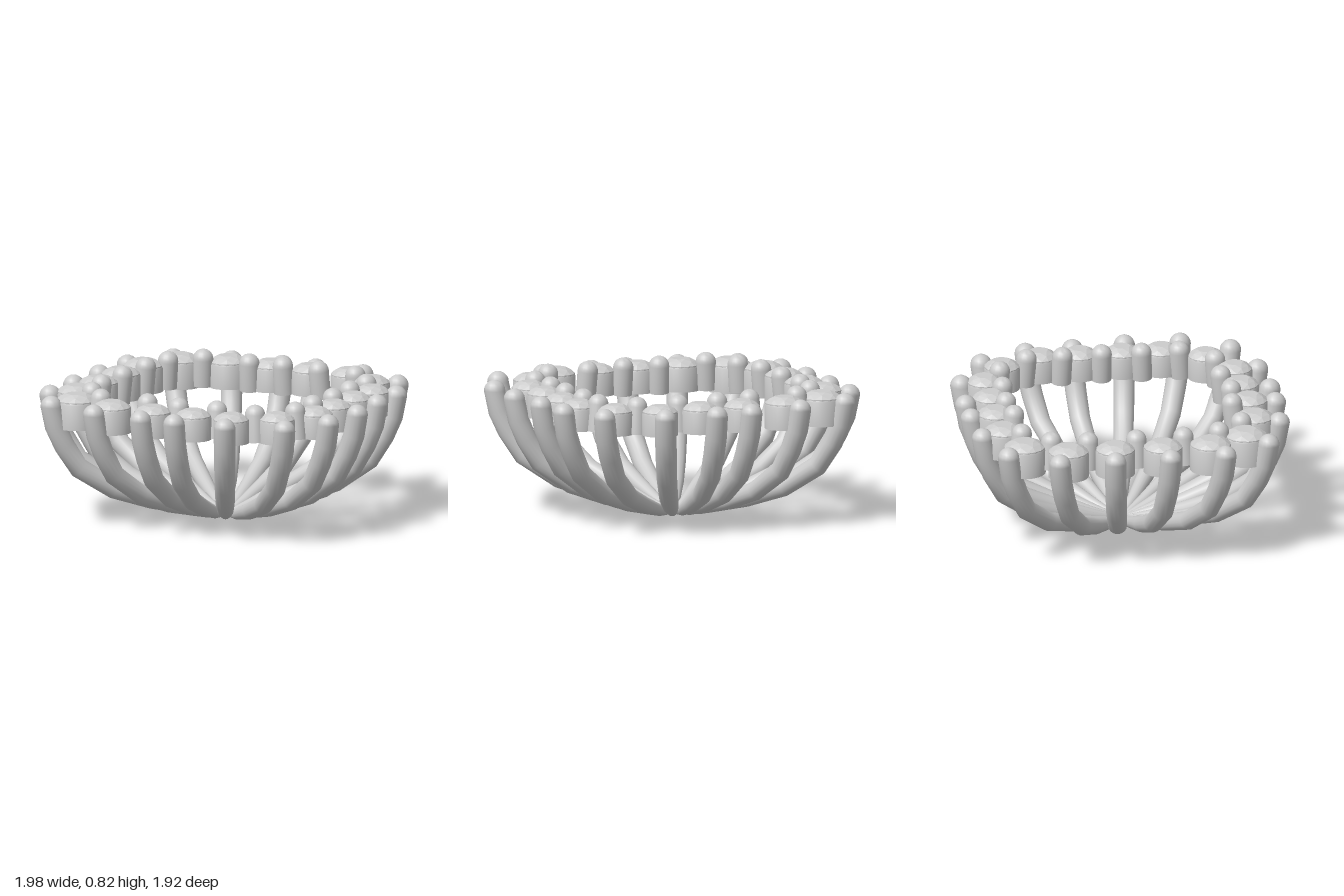
import * as THREE from 'three';
import { toCreasedNormals } from 'three/addons/utils/BufferGeometryUtils.js';
import { ConvexGeometry } from 'three/addons/geometries/ConvexGeometry.js';

const material = new THREE.MeshStandardMaterial({ color: 0xcccccc });
const V = (x, y, z) => new THREE.Vector3(x, y, z);

// stone positions around the squarish rim: x, z, radius
const STONES = [
  [-.66, -.66, .122], [-.385, -.745, .115], [-.11, -.75, .11], [.15, -.74, .107], [.405, -.74, .105],
  [.63, -.605, .105], [.755, -.365, .105], [.755, -.13, .105], [.755, .12, .105], [.75, .35, .105],
  [.63, .595, .105], [.4, .73, .105], [.15, .73, .107], [-.11, .74, .11], [-.385, .73, .115],
  [-.66, .64, .125], [-.775, .415, .12], [-.78, .135, .115], [-.78, -.145, .115], [-.775, -.42, .118],
];
// rib tips: x, z
const RIBS = [
  [-.76, -.77], [-.43, -.875], [-.11, -.895], [.11, -.895], [.43, -.875],
  [.745, -.71], [.88, -.43], [.9, -.15], [.93, .16], [.91, .485],
  [.765, .76], [.43, .87], [.11, .895], [-.11, .895], [-.43, .87],
  [-.765, .76], [-.915, .485], [-.93, .16], [-.93, -.165], [-.915, -.49],
];
// inner post tops: x, z
const POSTS = [
  [-.5, -.65], [-.2, -.65], [.01, -.665], [.25, -.65], [.5, -.63],
  [.665, -.45], [.665, -.24], [.675, -.01], [.665, .22], [.665, .44],
  [.5, .625], [.25, .62], [.015, .645], [-.2, .62], [-.5, .63],
  [-.635, .48], [-.685, .265], [-.69, -.01], [-.685, -.29], [-.65, -.5],
];

// rib side profile: fraction of the way out, height, radius
const RIB_PROFILE = [
  [.035, .015, .015], [.2, .048, .034], [.42, .113, .049], [.64, .196, .056],
  [.84, .335, .06], [.925, .475, .062], [.975, .59, .063], [1, .712, .063],
];

// tapered rib swept from the centre up to a rounded tip
function ribGeometry(tipX, tipZ) {
  const SIDES = 16, hub = V(-.015, 0, 0);
  const out = V(tipX, 0, tipZ).sub(hub);
  const side = V(-out.z, 0, out.x).normalize();
  const centres = RIB_PROFILE.map(([f, y]) => hub.clone().addScaledVector(out, f).setY(y));
  const rings = centres.map((c, i) => ({
    c, r: RIB_PROFILE[i][2],
    t: centres[Math.min(i + 1, 7)].clone().sub(centres[Math.max(i - 1, 0)]).normalize(),
  }));
  rings[7].t.set(0, 1, 0);
  for (let k = 1; k <= 5; k++) { // rounded tip
    const a = k / 5 * Math.PI / 2, last = rings[7];
    rings.push({ c: last.c.clone().setY(last.c.y + .063 * Math.sin(a)), r: .063 * Math.cos(a), t: last.t });
  }
  rings.unshift({ c: rings[0].c, r: 0, t: rings[0].t }); // closed root
  const pos = [], idx = [];
  rings.forEach(({ c, r, t }, i) => {
    const up = side.clone().cross(t).normalize();
    for (let j = 0; j < SIDES; j++) {
      const a = j / SIDES * Math.PI * 2;
      const p = c.clone().addScaledVector(side, r * Math.cos(a)).addScaledVector(up, r * Math.sin(a));
      pos.push(p.x, p.y, p.z);
      if (i === 0) continue;
      const n = (j + 1) % SIDES, lo = (i - 1) * SIDES, hi = i * SIDES;
      idx.push(lo + j, hi + n, hi + j, lo + j, lo + n, hi + n);
    }
  });
  const g = new THREE.BufferGeometry();
  g.setAttribute('position', new THREE.Float32BufferAttribute(pos, 3));
  // side x up runs opposite or along the tangent; keep faces outward
  const sense = side.clone().cross(side.clone().cross(rings[3].t)).dot(rings[3].t);
  if (sense < 0) idx.reverse();
  g.setIndex(idx);
  g.computeVertexNormals();
  return g;
}

// open cup: tube wall with an inner hole
function cupGeometry(r) {
  const bottom = .735 - 1.25 * r, inner = r * .8;
  const profile = [[inner, bottom], [r, bottom], [r, .727], [r * .96, .738], [inner, .738], [inner, bottom]];
  return toCreasedNormals(new THREE.LatheGeometry(profile.map(p => new THREE.Vector2(...p)), 32), .6);
}

// faceted stone: table, crown, girdle and pointed underside
function stoneGeometry(r) {
  const pts = [V(0, .735 - r * .85, 0)];
  const ring = (n, radius, y, turn) => {
    for (let i = 0; i < n; i++) {
      const a = (i + turn) / n * Math.PI * 2;
      pts.push(V(radius * Math.cos(a), y, radius * Math.sin(a)));
    }
  };
  ring(8, r * .48, .778, 0);
  ring(8, r * .76, .764, .5);
  ring(16, r * .98, .742, 0);
  ring(16, r * .98, .732, 0);
  return new ConvexGeometry(pts);
}

// round-topped post with a flat foot
function postGeometry(r, h) {
  const profile = [[0, 0], [r, 0]];
  for (let k = 0; k <= 6; k++) {
    const a = k / 6 * Math.PI / 2;
    profile.push([k === 6 ? 0 : r * Math.cos(a), h - r + r * Math.sin(a)]);
  }
  return toCreasedNormals(new THREE.LatheGeometry(profile.map(p => new THREE.Vector2(...p)), 20), .7);
}

export function createModel() {
  const model = new THREE.Group();
  model.name = 'stoneSetBowl';
  const add = (parent, name, geometry) => {
    const mesh = new THREE.Mesh(geometry, material);
    mesh.name = name;
    parent.add(mesh);
    return mesh;
  };
  const group = name => {
    const g = new THREE.Group();
    g.name = name;
    model.add(g);
    return g;
  };

  const ribs = group('ribs');
  for (const [x, z] of RIBS) add(ribs, 'rib', ribGeometry(x, z));

  const settings = group('stoneSettings');
  for (const [x, z, r] of STONES) {
    add(settings, 'cup', cupGeometry(r)).position.set(x, 0, z);
    add(settings, 'stone', stoneGeometry(r)).position.set(x, 0, z);
  }

  // posts lean slightly inward from foot to top
  const posts = group('innerPosts');
  const post = postGeometry(.06, .22);
  for (const [x, z] of POSTS) {
    const mesh = add(posts, 'innerPost', post);
    const foot = V(x, 0, z).setLength(Math.hypot(x, z) + .025).setY(.6);
    mesh.position.copy(foot);
    mesh.quaternion.setFromUnitVectors(V(0, 1, 0), V(x, .82, z).sub(foot).normalize());
  }
  return model;
}
